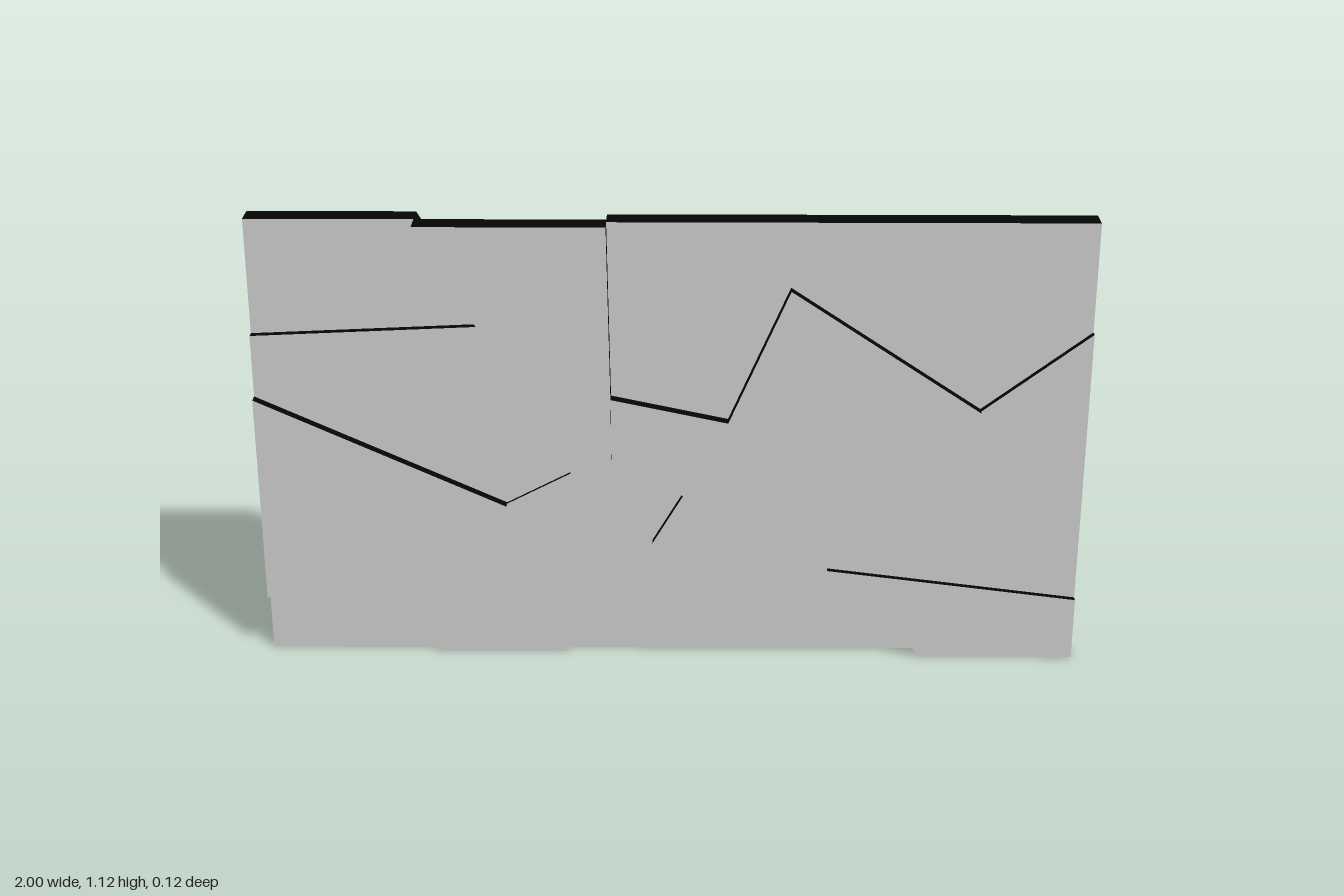
import * as THREE from 'three';

// A rectangular panel shattered into shards, each shifted slightly in depth.
const THICKNESS = 0.12 / 2;
const W = 1, H = 1.125;

// Shared break points, so neighbouring shards fit exactly
const P = {
  // panel corners
  tl: [-W, H], tr: [W, H], bl: [-W, 0], br: [W, 0],
  // points on the rim
  top1: [-0.6, H], top2: [-0.15, H],
  left1: [-W, 0.84], left2: [-W, 0.685], left3: [-W, 0.155],
  right1: [W, 0.855], right2: [W, 0.16],
  bottom1: [-0.58, 0], bottom2: [-0.26, 0], bottom3: [0.625, 0],
  // inner points
  a: [-0.45, 0.865], b: [-0.235, 0.493], c: [-0.143, 0.537], d: [-0.143, 0.69],
  e: [0.138, 0.63], f: [0.283, 0.965], g: [0.743, 0.658], h: [0.03, 0.438],
  i: [-0.045, 0.31], j: [0.118, 0.288], k: [0.385, 0.238], l: [-0.4, 0.407],
  m: [-0.693, 0.283],
};

// name, front depth, outline
const SHARDS = [
  ['topLeftShard', 0.001, 'left1 a top1 tl'],
  ['topCentreShard', 0.06, 'top1 a b c d top2'],
  ['topRightShard', 0.02, 'top2 d e f g right1 tr'],
  ['upperLeftShard', 0.02, 'left2 l b a left1'],
  ['leftWedgeShard', 0.046, 'left3 m l left2'],
  ['bottomLeftShard', 0.01, 'bl bottom1 m left3'],
  ['lowerCentreShard', 0.029, 'bottom1 bottom2 i h c b l m'],
  ['centreRightShard', 0.049, 'd c h i j g f e'],
  ['rightShard', 0.037, 'j k right2 right1 g'],
  ['bottomCentreShard', 0.008, 'bottom2 bottom3 k j i'],
  ['bottomRightShard', 0.052, 'bottom3 br right2 k'],
];

export function createModel() {
  const group = new THREE.Group();
  group.name = 'shatteredPanel';

  const faceMaterial = new THREE.MeshStandardMaterial({ color: 0xcccccc });
  const edgeMaterial = new THREE.MeshStandardMaterial({ color: 0x050505 });

  for (const [name, front, outline] of SHARDS) {
    const points = outline.split(' ').map((key) => new THREE.Vector2(...P[key]));
    const geometry = new THREE.ExtrudeGeometry(new THREE.Shape(points), {
      depth: THICKNESS,
      bevelEnabled: false,
    });
    // grey faces, black broken edges
    const shard = new THREE.Mesh(geometry, [faceMaterial, edgeMaterial]);
    shard.name = name;
    shard.position.z = front - THICKNESS;
    group.add(shard);
  }
  return group;
}
